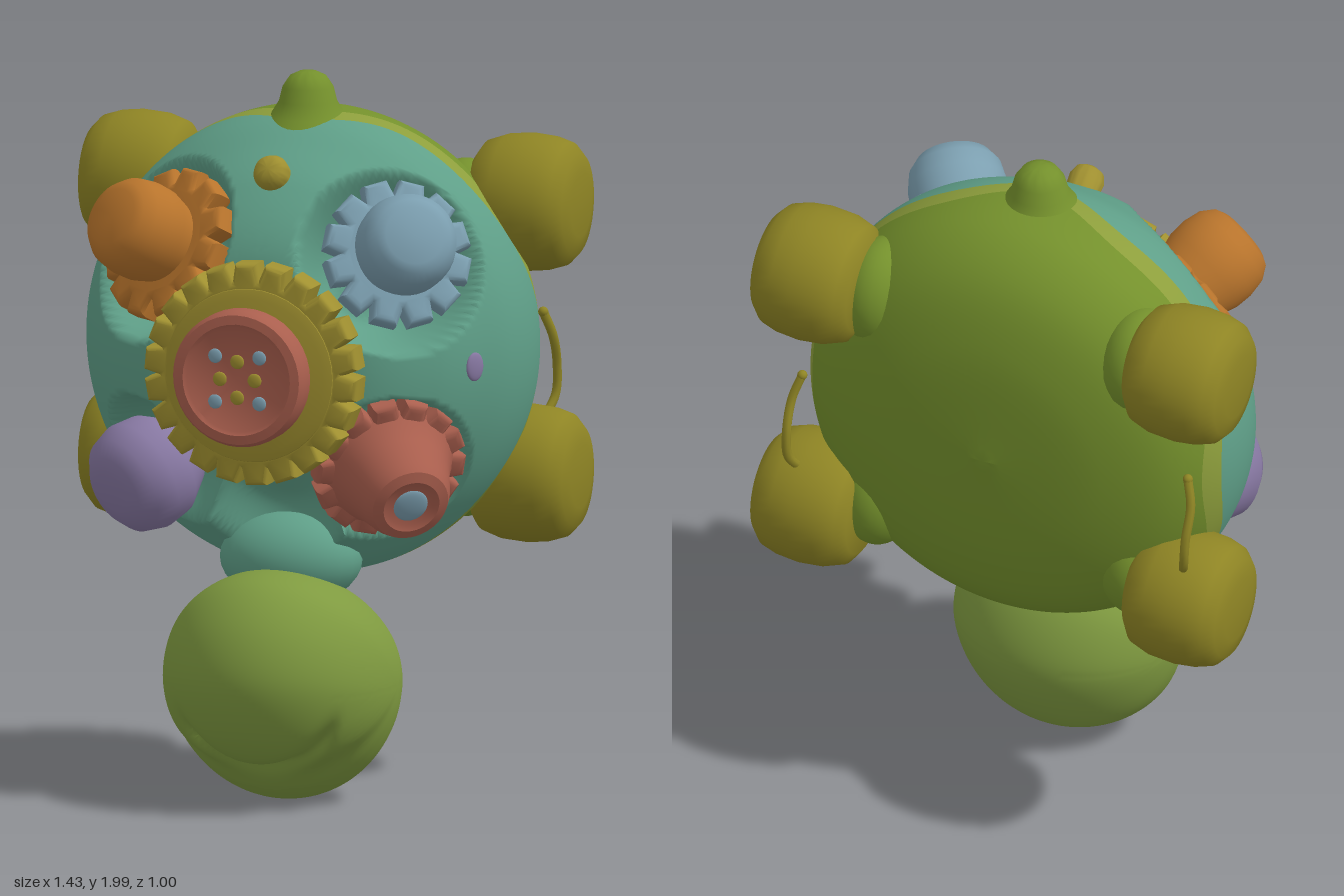
import * as THREE from 'three';
import { toCreasedNormals } from 'three/addons/utils/BufferGeometryUtils.js';
import { ParametricGeometry } from 'three/addons/geometries/ParametricGeometry.js';

const V = (x, y, z) => new THREE.Vector3(x, y, z);
const C = {
  shell: 0x74902c, rim: 0x8d9e3c, teal: 0x5f9f88, head: 0x7f9a40, wheel: 0x8e8424, gear: 0xa09030,
  orange: 0xb8742c, blue: 0x7c9fb0, red: 0xaa5f4e, purple: 0x8778a2,
};

function add(parent, name, geometry, color, pos = [0, 0, 0], scale = [1, 1, 1]) {
  const mesh = new THREE.Mesh(geometry, new THREE.MeshStandardMaterial({ color }));
  mesh.name = name;
  mesh.position.set(...pos);
  mesh.scale.set(...scale);
  parent.add(mesh);
  return mesh;
}

const ball = () => new THREE.SphereGeometry(1, 24, 16);

// Lathe along +z from [radius, z] points, running from back to front
function turned(points, sides = 40) {
  const g = new THREE.LatheGeometry(points.map(p => new THREE.Vector2(p[0], p[1])), sides);
  g.rotateX(Math.PI / 2);
  return toCreasedNormals(g, 0.7);
}

// Toothed wheel facing +z
function gearGeometry(teeth, root, tip, depth, bevel) {
  const s = new THREE.Shape();
  for (let i = 0; i < teeth; i++) {
    [[0, root], [0.35, root], [0.5, tip], [0.85, tip]].forEach(([f, r], k) => {
      const a = (i + f) / teeth * Math.PI * 2;
      s[i + k ? 'lineTo' : 'moveTo'](r * Math.cos(a), r * Math.sin(a));
    });
  }
  s.closePath();
  const g = new THREE.ExtrudeGeometry(s, {
    depth, bevelEnabled: true, bevelSize: bevel, bevelThickness: bevel, bevelSegments: 3,
  });
  return toCreasedNormals(g, 0.8);
}

// Body: turned profile, with round pockets pressed into the front
const profile = new THREE.CatmullRomCurve3([
  [0, 0.35], [0.3, 0.335], [0.47, 0.22], [0.56, 0.1], [0.615, 0], [0.635, -0.12],
  [0.61, -0.25], [0.52, -0.355], [0.34, -0.425], [0, -0.455],
].map(p => V(p[0], p[1], 0)));
const core = V(0, 1.25, -0.2);
// x, y, z, radius, depth
const pockets = [
  [0.35, 1.55, 0.23, 0.265, 0.22], [-0.35, 1.55, 0.23, 0.265, 0.22],
  [0.34, 0.94, 0.23, 0.235, 0.19], [-0.35, 0.93, 0.23, 0.21, 0.16], [0, 0.82, 0.28, 0.22, 0.15],
];

function bodyPoint(t, angle, target) {
  const p = profile.getPoint(t);
  target.set(p.x * Math.cos(angle), 1.25 + p.x * 1.02 * Math.sin(angle), p.y);
  const dir = target.clone().sub(core).normalize();
  let sink = 0;
  for (const [x, y, z, r, depth] of pockets) {
    const c = V(x, y, z).sub(core);
    const mid = Math.max(0, dir.dot(c));
    const q = (c.lengthSq() - mid * mid) / (r * r);
    if (q < 1) sink = Math.max(sink, depth * (1 - q * q * q));
  }
  target.addScaledVector(dir, -sink);
}

// Strip of the body between two edges given as functions of the angle
function bodyStrip(from, to, steps) {
  const g = new ParametricGeometry((u, v, target) => {
    const a = (v - 0.25) * Math.PI * 2;
    bodyPoint(from(a) + (to(a) - from(a)) * u, a, target);
  }, steps, 220);
  return toCreasedNormals(g, 1.4);
}

// Head: side outline swept to both sides, with a smiling mouth pressed in
function headGeometry() {
  const outline = new THREE.CatmullRomCurve3([
    [0.5, 0.39], [0.458, 0.24], [0.38, 0.145], [0.285, 0.1], [0.22, 0.045], [0.13, 0.01], [-0.02, 0.07],
    [-0.125, 0.22], [-0.157, 0.36], [-0.1, 0.52], [0, 0.6], [0.19, 0.658], [0.35, 0.64], [0.455, 0.54],
  ].map(([z, y]) => V(0, y - 0.34, z - 0.13)), true);
  const g = new ParametricGeometry((u, v, target) => {
    const lat = (v - 0.5) * Math.PI;
    outline.getPoint(u % 1, target);
    const angle = Math.atan2(target.y, target.z);
    const off = (angle + 0.86 - lat * lat) / 0.13;
    const groove = 0.14 * Math.exp(-off * off) * (1 - THREE.MathUtils.smoothstep(Math.abs(lat), 0.55, 0.85));
    target.multiplyScalar(Math.cos(lat) * (1 - groove));
    target.x = 0.328 * Math.sin(lat);
  }, 120, 60);
  return toCreasedNormals(g, 1.2);
}

function createModel() {
  const model = new THREE.Group();
  model.name = 'turtleToy';

  // Body in three bands; the seam swings back at the sides and forward at the tail
  const seam = a => (4.75 + 1.1 * Math.pow(Math.abs(Math.cos(a)), 8)
    - 0.75 * Math.pow(Math.max(0, Math.sin(a)), 24)) / 9;
  const rimEnd = a => seam(a) + 0.055;
  add(model, 'frontBody', bodyStrip(() => 0, seam, 90), C.teal);
  add(model, 'shellRim', bodyStrip(seam, rimEnd, 6), C.rim);
  add(model, 'backShell', bodyStrip(rimEnd, () => 1, 40), C.shell);

  // Tail stub
  const tail = turned([[0.15, -0.02], [0.105, 0.03], [0.08, 0.07], [0.07, 0.11], [0.05, 0.14], [0.025, 0.152], [0, 0.155]]);
  tail.rotateX(-Math.PI / 2);
  add(model, 'tail', tail, C.shell, [0, 1.845, -0.075]);

  // Neck and head
  add(model, 'neck', ball(), C.teal, [0, 0.67, 0.07], [0.2, 0.13, 0.15]);
  add(model, 'head', headGeometry(), C.head, [0, 0.34, 0.13]);

  // Wheels, their mounts and the thin curls behind the lower pair
  const wheelShape = turned([
    [0, -0.15], [0.13, -0.15], [0.165, -0.125], [0.184, -0.07], [0.19, 0], [0.184, 0.06],
    [0.17, 0.105], [0.14, 0.133], [0.09, 0.144], [0, 0.148],
  ]);
  for (const side of [1, -1]) {
    for (const [place, y] of [['upper', 1.625], ['lower', 0.87]]) {
      const wheel = add(model, place + 'Wheel', wheelShape, C.wheel, [side * 0.565, y, -0.315]);
      wheel.rotation.y = side * Math.PI / 2;
      add(model, place + 'WheelMount', ball(), C.shell,
        [side * 0.39, y + (y > 1.2 ? -0.04 : 0.04), -0.265], [0.11, 0.16, 0.14]);
    }
    const curl = new THREE.CatmullRomCurve3([
      V(side * 0.57, 1.0, -0.38), V(side * 0.595, 1.07, -0.43), V(side * 0.6, 1.15, -0.43),
      V(side * 0.6, 1.24, -0.395), V(side * 0.58, 1.31, -0.37),
    ]);
    add(model, 'curl', new THREE.TubeGeometry(curl, 24, 0.013, 8), C.wheel);
    add(model, 'curlTip', ball(), C.wheel, [side * 0.58, 1.31, -0.37], [0.014, 0.014, 0.014]);
  }

  // Large centre gear with its hub
  const centre = new THREE.Group();
  centre.name = 'centreGear';
  centre.position.set(-0.005, 1.235, 0);
  model.add(centre);
  add(centre, 'gearPlate', gearGeometry(22, 0.245, 0.288, 0.06, 0.02), C.gear, [0, 0, 0.335]);
  add(centre, 'gearDish', turned([[0.25, 0.4], [0.24, 0.417], [0.215, 0.424], [0, 0.424]]), C.gear);
  add(centre, 'hub', turned([[0.18, 0.38], [0.19, 0.43], [0.19, 0.475], [0.18, 0.495],
    [0.155, 0.498], [0.145, 0.49], [0, 0.49]]), C.red, [-0.01, 0, 0]);
  for (let i = 0; i < 8; i++) {
    const a = i / 8 * Math.PI * 2, r = i % 2 ? 0.09 : 0.05;
    add(centre, 'hubSpot', ball(), i % 2 ? C.blue : C.gear,
      [r * Math.cos(a) - 0.01, r * Math.sin(a), 0.49], [0.02, 0.02, 0.006]);
  }

  // Corner knobs, each pointing outwards from its pocket
  function corner(name, color, pos, axis, knobPoints, teeth, tip) {
    const group = new THREE.Group();
    group.name = name;
    group.position.set(...pos);
    group.quaternion.setFromUnitVectors(V(0, 0, 1), V(...axis).normalize());
    model.add(group);
    if (teeth) add(group, 'toothedBase', gearGeometry(teeth, tip - 0.065, tip - 0.022, 0.035, 0.022), color, [0, 0, -0.015]);
    add(group, 'knob', turned(knobPoints), color);
    return group;
  }
  const barrel = [[0.11, -0.06], [0.12, 0.04], [0.135, 0.09], [0.137, 0.14], [0.128, 0.19],
    [0.105, 0.224], [0.08, 0.236], [0, 0.238]];
  const cone = [[0.17, -0.03], [0.185, 0.02], [0.165, 0.05], [0.145, 0.1], [0.122, 0.18], [0.108, 0.208],
    [0.08, 0.218], [0.065, 0.21], [0, 0.21]];
  const bud = [[0, -0.15], [0.1, -0.12], [0.15, -0.04], [0.158, 0.03], [0.14, 0.09], [0.1, 0.125], [0.06, 0.135], [0, 0.138]];
  corner('blueKnob', C.blue, [0.325, 1.54, 0.135], [0.45, 0.37, 0.72], barrel, 12, 0.205);
  corner('orangeKnob', C.orange, [-0.325, 1.53, 0.135], [-0.43, 0.42, 0.72], barrel, 12, 0.215);
  const red = corner('redKnob', C.red, [0.31, 0.965, 0.16], [0.52, -0.38, 0.68], cone, 14, 0.215);
  add(red, 'knobCap', ball(), C.blue, [0, 0, 0.208], [0.05, 0.05, 0.012]);
  corner('purpleKnob', C.purple, [-0.37, 0.91, 0.2], [-0.45, -0.3, 0.7], bud);

  // Small button above the centre gear and an oval mark on the left side
  corner('topButton', C.gear, [-0.01, 1.74, 0.17], [0, 0.45, 0.8],
    [[0.045, -0.02], [0.05, 0.05], [0.04, 0.075], [0.022, 0.085], [0, 0.087]]);
  const mark = add(model, 'sideMark', ball(), C.purple, [0.547, 1.24, 0.12], [0.03, 0.04, 0.01]);
  mark.rotation.y = 1.05;

  return model;
}

export { createModel };
